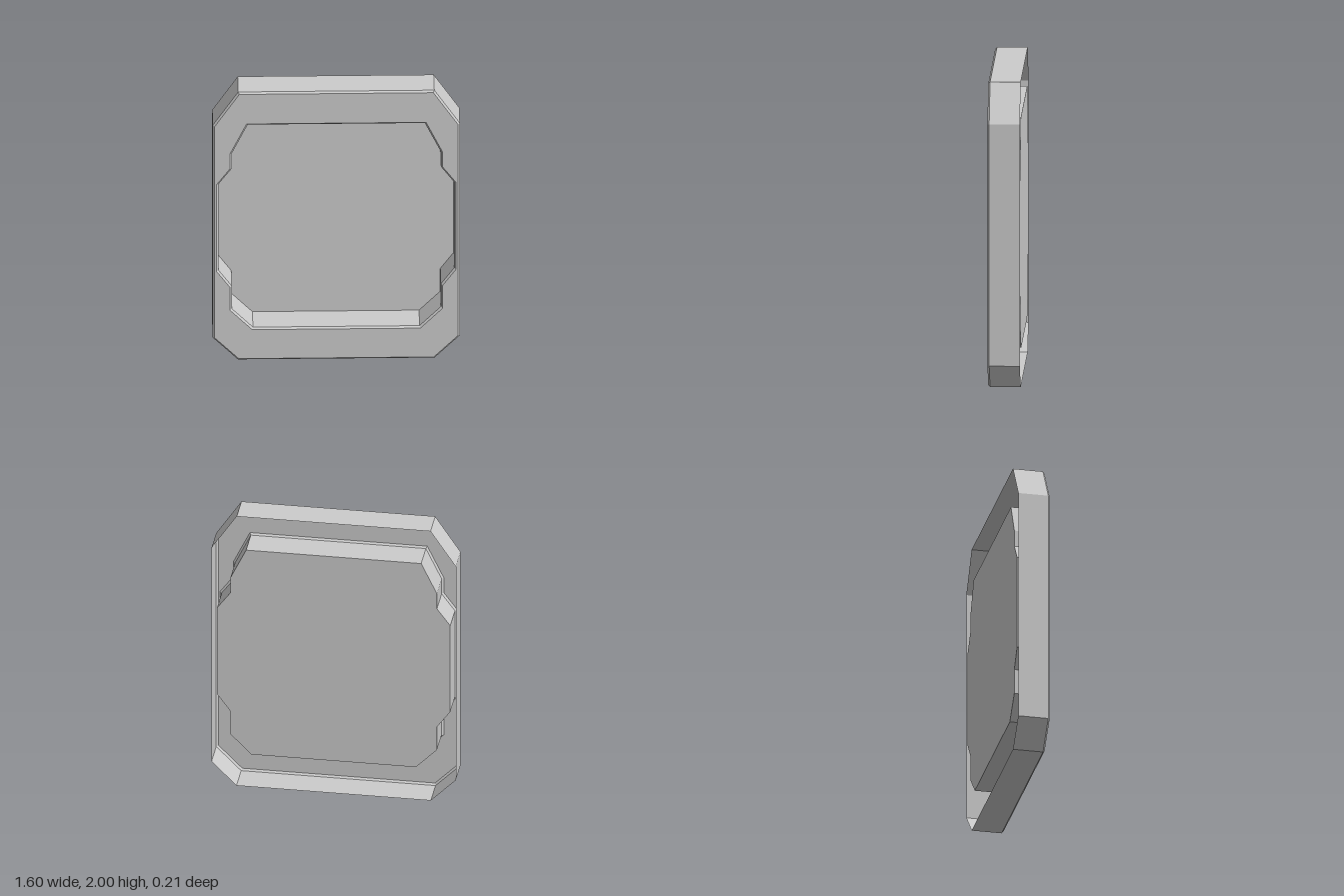
import * as THREE from 'three';

const material = new THREE.MeshStandardMaterial({ color: 0xcccccc, flatShading: true, side: THREE.DoubleSide });

const BACK = -0.105, FRONT = 0.105, BEVEL = 0.012;

// Mirror a right-hand profile (bottom to top) into a closed counter-clockwise loop
function mirrorLoop(half) {
  const right = half.map(([x, y]) => new THREE.Vector2(x, y));
  const left = half.map(([x, y]) => new THREE.Vector2(-x, y)).reverse();
  return [...right, ...left];
}

// Move every edge of a loop outward by d, with mitred corners
function offsetLoop(loop, d) {
  const n = loop.length;
  const normal = (a, b) => new THREE.Vector2(b.y - a.y, a.x - b.x).normalize();
  return loop.map((p, i) => {
    const n1 = normal(loop[(i + n - 1) % n], p);
    const n2 = normal(p, loop[(i + 1) % n]);
    return p.clone().addScaledVector(n1.clone().add(n2), d / (1 + n1.dot(n2)));
  });
}

// Wall through a series of { loop, z } sections ordered back to front
function wall(name, sections, inward = false) {
  const pos = [];
  for (let s = 0; s < sections.length - 1; s++) {
    const lo = sections[s], hi = sections[s + 1], n = lo.loop.length;
    for (let i = 0; i < n; i++) {
      const j = (i + 1) % n;
      const a = [lo.loop[i].x, lo.loop[i].y, lo.z], b = [lo.loop[j].x, lo.loop[j].y, lo.z];
      const c = [hi.loop[j].x, hi.loop[j].y, hi.z], d = [hi.loop[i].x, hi.loop[i].y, hi.z];
      pos.push(...(inward ? [a, c, b, a, d, c] : [a, b, c, a, c, d]).flat());
    }
  }
  const geo = new THREE.BufferGeometry();
  geo.setAttribute('position', new THREE.Float32BufferAttribute(pos, 3));
  geo.computeVertexNormals();
  return named(name, geo);
}

// Flat sheet at depth z, with an optional opening
function sheet(name, loop, z, hole) {
  const shape = new THREE.Shape(loop);
  if (hole) shape.holes.push(new THREE.Path(hole));
  return named(name, new THREE.ShapeGeometry(shape).translate(0, 0, z));
}

function named(name, geo) {
  const mesh = new THREE.Mesh(geo, material);
  mesh.name = name;
  return mesh;
}

export function createModel() {
  const group = new THREE.Group();
  group.name = 'framedPanel';

  const outer = mirrorLoop([[0.635, 0], [0.798, 0.165], [0.798, 1.752], [0.633, 2]]);
  const inner = mirrorLoop([
    [0.538, 0.24], [0.675, 0.38], [0.675, 0.55], [0.762, 0.67],
    [0.762, 1.31], [0.675, 1.428], [0.675, 1.54], [0.572, 1.755],
  ]);
  const outerFront = offsetLoop(outer, -BEVEL);
  const innerFront = offsetLoop(inner, BEVEL);

  group.add(
    // Outer shell, open at the back
    wall('outerWall', [
      { loop: outer, z: BACK }, { loop: outer, z: FRONT - BEVEL }, { loop: outerFront, z: FRONT },
    ]),
    // Front border around the opening
    sheet('frontFrame', outerFront, FRONT, innerFront),
    // Sides of the recess
    wall('recessWall', [
      { loop: inner, z: BACK }, { loop: inner, z: FRONT - BEVEL }, { loop: innerFront, z: FRONT },
    ], true),
    // Floor of the recess, flush with the back
    sheet('recessPanel', inner, BACK),
  );
  return group;
}
